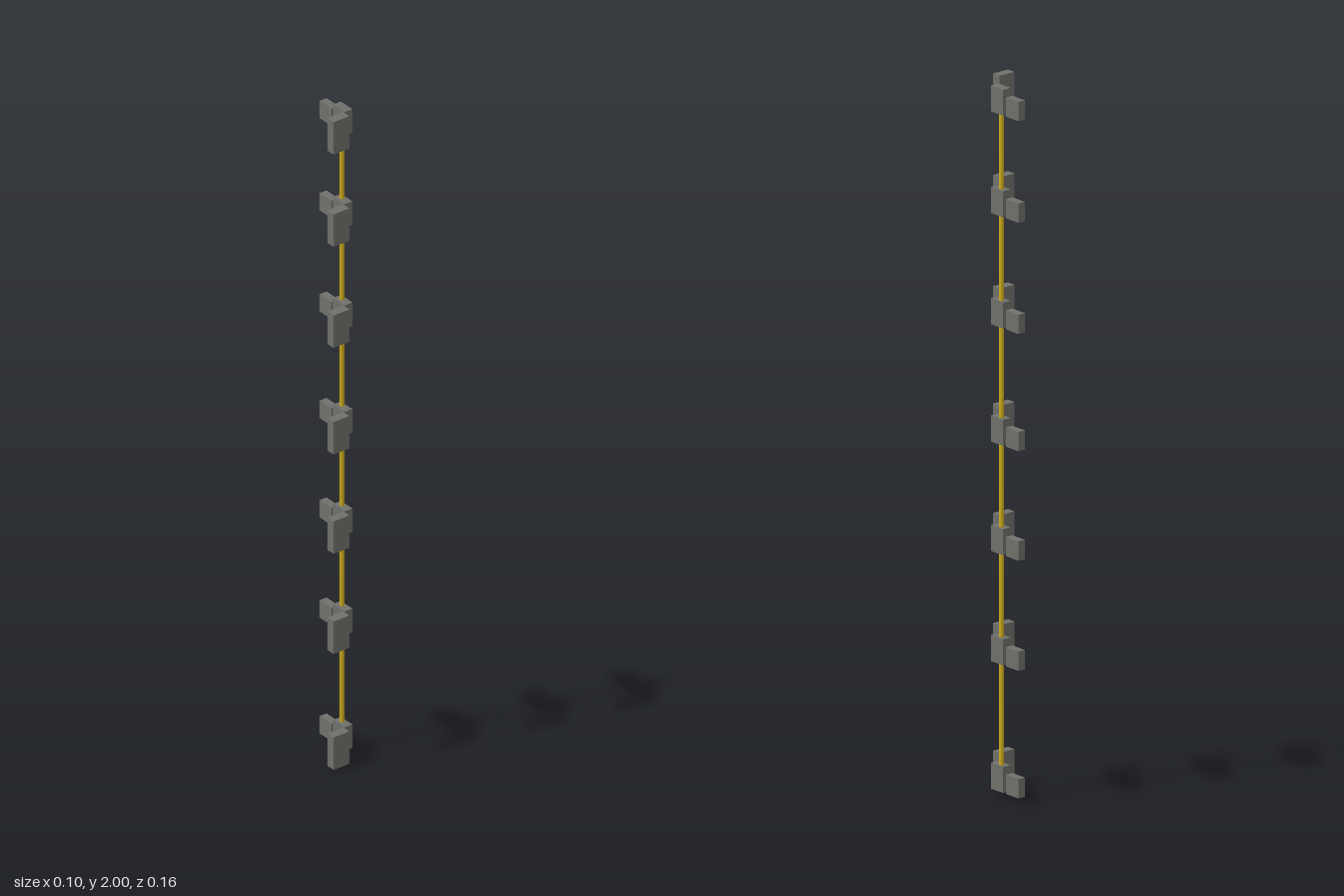
import * as THREE from 'three';

export function createModel() {
  const model = new THREE.Group();
  const grey = new THREE.MeshStandardMaterial({ color: 0x70706b });
  grey.name = 'grey';
  const yellow = new THREE.MeshStandardMaterial({ color: 0xd0ae1c });
  yellow.name = 'yellow';

  // Block shapes shared by every level: size, x and z centre, drop below the level
  const blocks = [
    { name: 'frontBlock', size: [0.053, 0.1, 0.027], x: -0.0215, z: 0.0645, drop: 0 },
    { name: 'middleBlock', size: [0.026, 0.073, 0.05], x: 0.035, z: 0.01, drop: 0 },
    { name: 'backBlock', size: [0.023, 0.054, 0.052], x: 0.0365, z: -0.052, drop: 0.009 },
  ].map((b) => ({ ...b, geometry: new THREE.BoxGeometry(...b.size) }));

  // Seven unevenly spaced levels of three blocks
  [0.05, 0.408, 0.717, 1.024, 1.353, 1.665, 1.95].forEach((y, i) => {
    const level = new THREE.Group();
    level.name = `blockLevel${i + 1}`;
    level.position.y = y;
    for (const b of blocks) {
      const mesh = new THREE.Mesh(b.geometry, grey);
      mesh.name = b.name;
      mesh.position.set(b.x, -b.drop, b.z);
      level.add(mesh);
    }
    model.add(level);
  });

  // Thin upright rod joining the middle blocks
  const rod = new THREE.Mesh(new THREE.CylinderGeometry(0.007, 0.007, 1.9, 12), yellow);
  rod.name = 'rod';
  rod.position.set(0.037, 1.0, 0.004);
  model.add(rod);

  return model;
}
